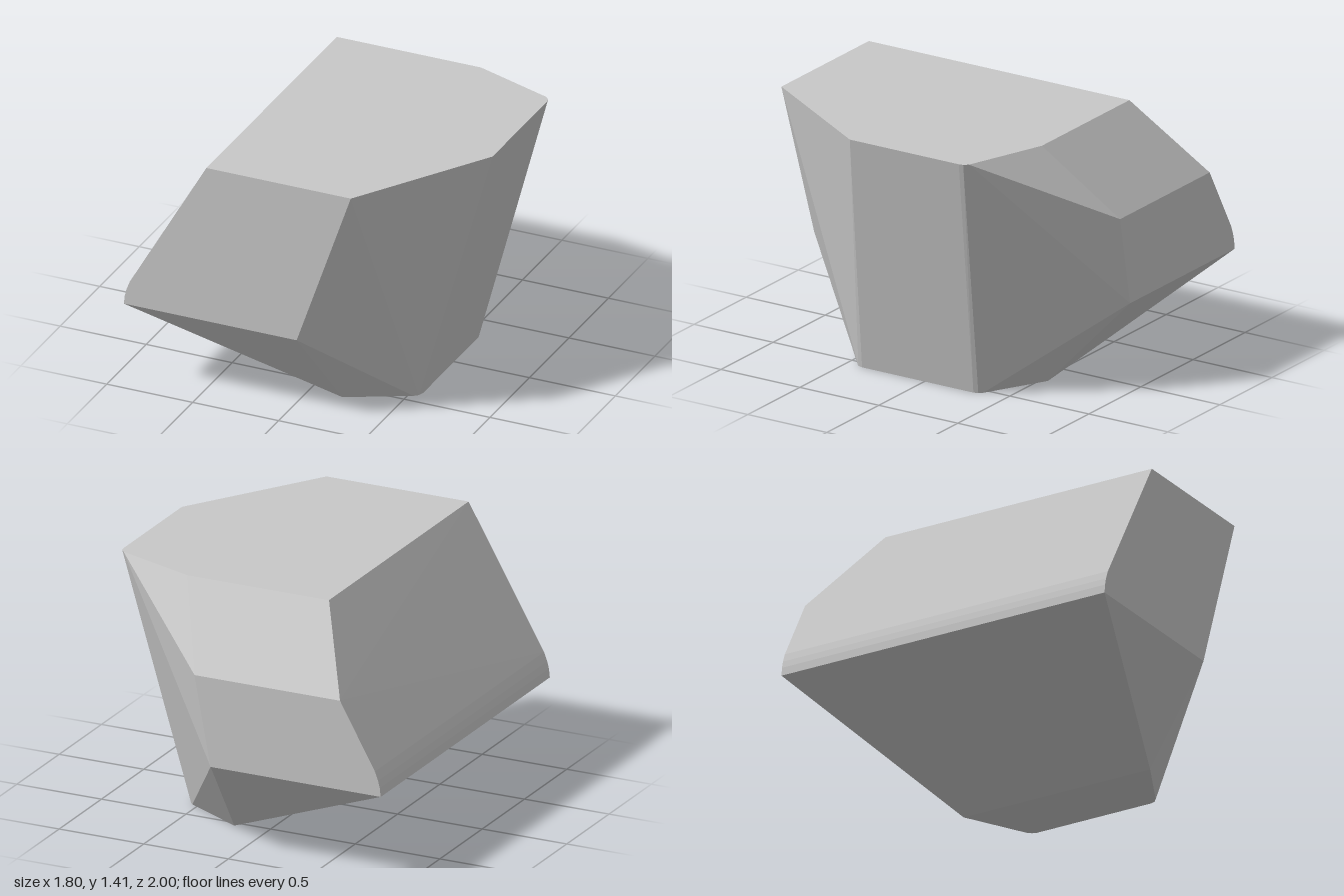
import * as THREE from 'three';
import { ConvexGeometry } from 'three/addons/geometries/ConvexGeometry.js';

const V = (x, y, z) => new THREE.Vector3(x, y, z);

export function createModel() {
  const group = new THREE.Group();
  group.name = 'rock';
  const stone = new THREE.MeshStandardMaterial({ color: 0xc7c7c7 });
  stone.name = 'stone grey';

  const corners = [
    // flat top
    V(-0.42, 1.415, 1), V(0.42, 1.415, 1), V(0.9, 1.415, 0.25),
    V(0.9, 1.415, -0.44), V(0.895, 1.415, -0.465), V(0.875, 1.415, -0.488),
    V(0.42, 1.415, -0.65), V(-0.42, 1.415, -0.65),
    // lower right corner of front and back cuts, and back shoulder
    V(0.105, 0.502, 1), V(0.105, 0.502, -1), V(0.2, 1.005, -1), V(-0.66, 1.005, -1),
    // small base
    V(0.195, 0, 0.615), V(0.53, 0, 0.445), V(0.552, 0, 0.425), V(0.562, 0, 0.395),
    V(0.562, 0, -0.31), V(0.553, 0, -0.335), V(0.535, 0, -0.355), V(0.195, 0, -0.54),
  ];

  // rounded left rim, running the full depth
  for (const [x, y] of [[-0.9, 0.502], [-0.895, 0.55], [-0.885, 0.59], [-0.866, 0.64]]) {
    corners.push(V(x, y, 1), V(x, y, -1));
  }

  const body = new THREE.Mesh(new ConvexGeometry(corners), stone);
  body.name = 'rockBody';
  group.add(body);
  return group;
}
